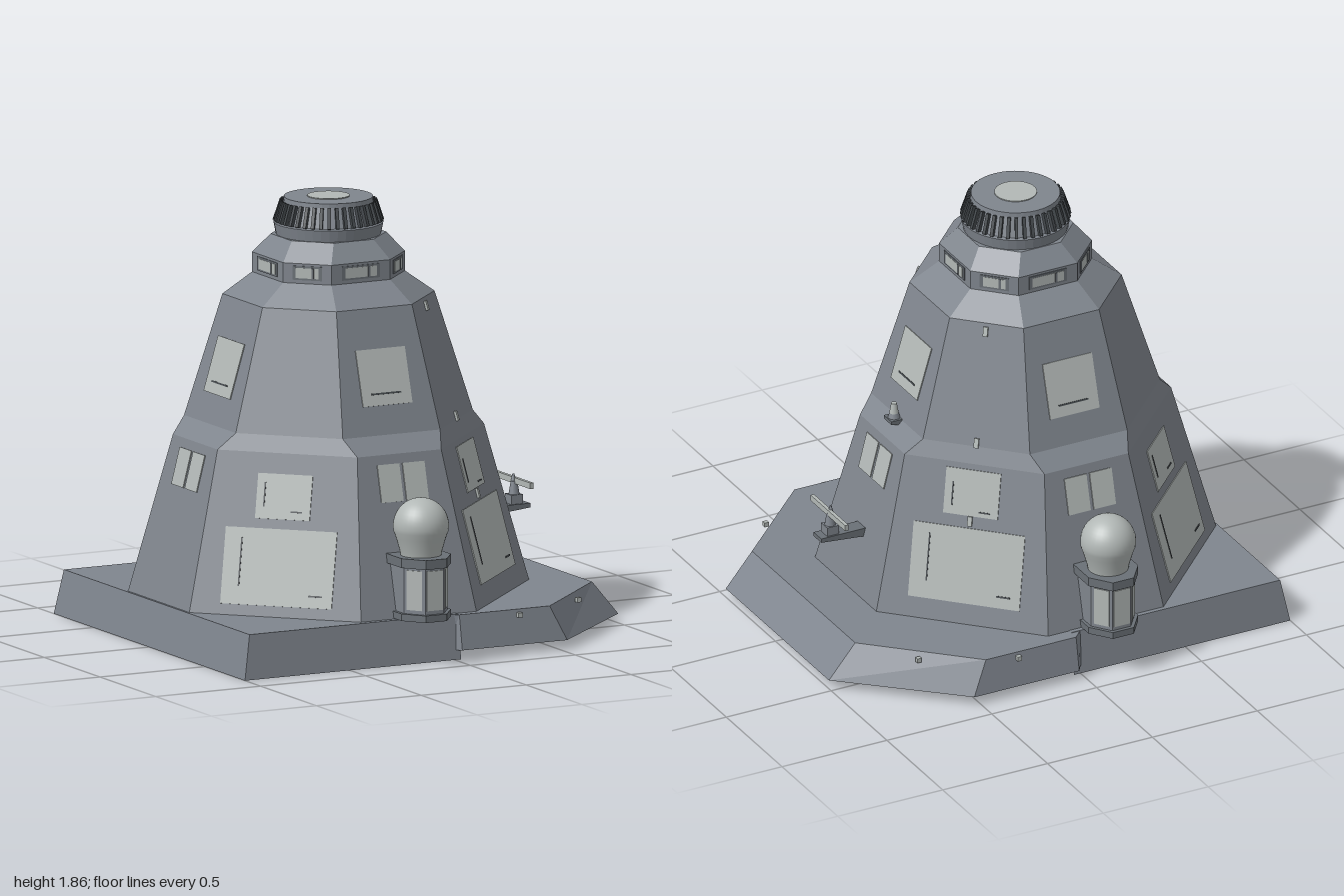
import * as THREE from 'three';

const AXIS = -0.145; // tower axis in x

const mat = (name, color, side = THREE.FrontSide) => {
  const m = new THREE.MeshStandardMaterial({ color, side });
  m.name = name;
  return m;
};

// Flat-faced skin over rings of [x, y, z]; rings run anticlockwise seen from above.
function loft(rings, { open = false, top = true } = {}) {
  const pos = [];
  const tri = (...pts) => pts.forEach((p) => pos.push(...p));
  const n = rings[0].length;
  for (let r = 0; r + 1 < rings.length; r++) {
    for (let i = 0; i < (open ? n - 1 : n); i++) {
      const j = (i + 1) % n, a = rings[r], b = rings[r + 1];
      tri(a[i], a[j], b[j], a[i], b[j], b[i]);
    }
  }
  if (top) {
    const last = rings[rings.length - 1];
    const c = [0, 1, 2].map((k) => last.reduce((s, p) => s + p[k], 0) / n);
    for (let i = 0; i < n; i++) tri(c, last[i], last[(i + 1) % n]);
  }
  const g = new THREE.BufferGeometry();
  g.setAttribute('position', new THREE.Float32BufferAttribute(pos, 3));
  g.computeVertexNormals();
  return g;
}

// Octagon with four straight sides at distance a, each of half width w.
const octagon = (y, a, w) => [
  [-w, y, a], [w, y, a], [a, y, w], [a, y, -w],
  [w, y, -a], [-w, y, -a], [-a, y, -w], [-a, y, w],
];

// Tower levels: height, side distance, half width of the straight sides
const LEVELS = [
  [0.19, 0.812, 0.276], [0.87, 0.635, 0.2], [0.94, 0.565, 0.232], [1.455, 0.41, 0.18],
  [1.545, 0.29, 0.14], [1.63, 0.29, 0.14], [1.71, 0.225, 0.095],
];

// Distance of a tower face from the axis at height y
function faceDistance(y, diagonal) {
  let i = 0;
  while (i < LEVELS.length - 2 && y > LEVELS[i + 1][0]) i++;
  const [p, q] = [LEVELS[i], LEVELS[i + 1]];
  const d = (l) => (diagonal ? (l[1] + l[2]) / Math.SQRT2 : l[1]);
  return THREE.MathUtils.mapLinear(y, p[0], q[0], d(p), d(q));
}

export function createModel() {
  const model = new THREE.Group();
  const hull = mat('hullGrey', 0x7f858d);
  const deckGrey = mat('deckGrey', 0x7f858e, THREE.DoubleSide);
  const light = mat('panelGrey', 0xb2b8b6);
  const trim = mat('trimGrey', 0x6a7076);
  const dark = mat('darkGrey', 0x44494d);

  const add = (parent, name, geo, material, x = 0, y = 0, z = 0) => {
    const m = new THREE.Mesh(geo, material);
    m.name = name;
    m.position.set(x, y, z);
    parent.add(m);
    return m;
  };
  const cyl = (rt, rb, h, n = 16) => new THREE.CylinderGeometry(rt, rb, h, n);

  // Hollow base decks, open underneath
  const deck = (name, bottom, topPts, y0, y1) => add(model, name,
    loft([bottom.map(([x, z]) => [x, y0, z]), topPts.map(([x, z]) => [x, y1, z])], { open: true }), deckGrey);
  deck('squareDeck',
    [[0.03, -0.855], [-1, -0.855], [-1, 0.86], [0.03, 0.86]],
    [[0.03, -0.83], [-0.965, -0.83], [-0.965, 0.835], [0.03, 0.835]], 0.01, 0.2);
  deck('angledDeck',
    [[-0.02, 0.83], [0.03, 0.872], [0.53, 0.872], [1, 0.445], [1, -0.48], [0.53, -0.9], [0.03, -0.9], [-0.02, -0.83]],
    [[-0.02, 0.82], [0.03, 0.845], [0.46, 0.845], [0.875, 0.445], [0.875, -0.48], [0.46, -0.872], [0.03, -0.872], [-0.02, -0.82]],
    0.05, 0.198);

  const tower = new THREE.Group();
  tower.name = 'tower';
  tower.position.x = AXIS;
  model.add(tower);
  add(tower, 'towerBody', loft(LEVELS.map((l) => octagon(...l))), hull);

  // Thin plate lying on tower face k (0 = front, odd = diagonal)
  const faces = Array.from({ length: 8 }, (_, k) => {
    const f = new THREE.Group();
    f.name = 'towerFace';
    f.rotation.y = (k * Math.PI) / 4;
    tower.add(f);
    return f;
  });
  const plate = (name, k, s, w, y0, y1, material = light, t = 0.009, lift = 0) => {
    const d0 = faceDistance(y0, k % 2), d1 = faceDistance(y1, k % 2);
    const m = add(faces[k], name, new THREE.BoxGeometry(w, Math.hypot(y1 - y0, d0 - d1), t),
      material, s, (y0 + y1) / 2, (d0 + d1) / 2 + lift);
    m.rotation.x = -Math.atan2(d0 - d1, y1 - y0);
  };

  for (let k = 0; k < 8; k++) {
    if (k % 2) {
      // Diagonal faces: large and small hatch with seams
      const up = k < 4 ? 0.04 : 0;
      plate('largeHatch', k, 0, 0.49, 0.245 + up, 0.56 + up);
      plate('hatchSeam', k, -0.17, 0.006, 0.32 + up, 0.52 + up, dark, 0.006, 0.004);
      plate('hatchHandle', k, 0.17, 0.06, 0.29 + up, 0.297 + up, dark, 0.006, 0.004);
      plate('smallHatch', k, 0, 0.24, 0.6 + up * 1.3, 0.785 + up * 1.5);
      plate('hatchSeam', k, -0.085, 0.006, 0.65 + up, 0.75 + up, dark, 0.006, 0.004);
      plate('hatchHandle', k, 0.06, 0.05, 0.63 + up, 0.636 + up, dark, 0.006, 0.004);
      if (k < 4) [0.63, 0.955, 1.42].forEach((y) => plate('mooringTab', k, 0, 0.02, y - 0.02, y + 0.02, light, 0.02));
    } else {
      // Straight faces: upper hatch and a pair of lower doors
      plate('upperHatch', k, 0, 0.235, 1.06, 1.29);
      plate('upperHatchSlot', k, 0, 0.14, 1.105, 1.112, dark, 0.006, 0.004);
      [-1, 1].forEach((s) => plate('lowerDoor', k, s * 0.06, 0.105, 0.675, 0.83));
    }
    // Collar windows
    const w = k % 2 ? 0.1 : 0.15;
    plate('windowFrame', k, 0, w + 0.03, 1.56, 1.62, trim, 0.006);
    plate('collarWindow', k, 0, w, 1.568, 1.612);
    plate('windowBar', k, w * 0.25, 0.01, 1.568, 1.612, trim, 0.006, 0.004);
  }

  // Ribbed round cap
  const profile = [[0.2, 1.69], [0.222, 1.71], [0.232, 1.76], [0.218, 1.765], [0.19, 1.85], [0.188, 1.868], [0, 1.868]];
  const capShape = new THREE.LatheGeometry(profile.map((p) => new THREE.Vector2(...p)), 40).toNonIndexed();
  capShape.computeVertexNormals();
  add(tower, 'cap', capShape, hull);
  add(tower, 'capDisc', cyl(0.09, 0.09, 0.008, 32), light, 0, 1.868, 0);
  for (let i = 0; i < 40; i++) {
    const holder = new THREE.Group();
    holder.name = 'capRib';
    holder.rotation.y = (i / 40) * Math.PI * 2;
    tower.add(holder);
    add(holder, 'rib', new THREE.BoxGeometry(0.014, 0.09, 0.024), dark, 0, 1.807, 0.209).rotation.x = -0.32;
  }

  // Domed posts at front and back
  const postBlock = (s, h) => {
    const pts = [[-0.118, -0.11], [0.118, -0.11], [0.118, 0.04], [0.05, 0.13], [-0.05, 0.13], [-0.118, 0.04]];
    const shape = new THREE.Shape(pts.map(([x, z]) => new THREE.Vector2(x * s, -z * s)));
    return new THREE.ExtrudeGeometry(shape, { depth: h, bevelEnabled: false }).rotateX(-Math.PI / 2);
  };
  const bulb = [[0.085, 0.46], [0.09, 0.49], [0.106, 0.545]];
  for (let i = 0; i <= 12; i++) {
    const a = -0.2 + (i / 12) * (Math.PI / 2 + 0.2);
    bulb.push([Math.max(0, 0.118 * Math.cos(a)), 0.595 + 0.118 * Math.sin(a)]);
  }
  for (const turn of [0, Math.PI]) {
    const side = new THREE.Group();
    side.name = turn ? 'backPost' : 'frontPost';
    side.rotation.y = turn;
    tower.add(side);
    add(side, 'postFoot', postBlock(1, 0.03), trim, 0, 0.203, 0.837);
    add(side, 'postColumn', postBlock(0.88, 0.2), hull, 0, 0.232, 0.837);
    add(side, 'postPanel', new THREE.BoxGeometry(0.076, 0.17, 0.008), light, 0, 0.335, 0.952);
    [-1, 1].forEach((s) => {
      add(side, 'postSidePanel', new THREE.BoxGeometry(0.07, 0.17, 0.008), light, s * 0.074, 0.335, 0.912)
        .rotation.y = s * Math.atan2(0.09, 0.068);
    });
    add(side, 'postCollar', postBlock(1, 0.04), trim, 0, 0.43, 0.837);
    add(side, 'dome', new THREE.LatheGeometry(bulb.map((p) => new THREE.Vector2(...p)), 32), light, 0, 0, 0.83);
  }

  // Bracket with a wedge underside, projecting towards +x
  const bracket = (x0, x1, yTop, h, width) => {
    const s = new THREE.Shape([[x0, yTop - h], [x1, yTop - h * 0.45], [x1, yTop], [x0, yTop]].map((p) => new THREE.Vector2(...p)));
    return new THREE.ExtrudeGeometry(s, { depth: width, bevelEnabled: false }).translate(0, 0, -width / 2 - 0.01);
  };
  // Lower shelf with its scanner bar
  const scanner = new THREE.Group();
  scanner.name = 'scanner';
  model.add(scanner);
  add(scanner, 'scannerShelf', bracket(0.58, 0.805, 0.47, 0.04, 0.07), trim);
  add(scanner, 'scannerFoot', new THREE.BoxGeometry(0.055, 0.04, 0.055), hull, 0.745, 0.49, -0.01);
  add(scanner, 'scannerNeck', cyl(0.014, 0.024, 0.06), hull, 0.745, 0.535, -0.01);
  add(scanner, 'scannerBar', new THREE.BoxGeometry(0.016, 0.026, 0.31), light, 0.75, 0.568, -0.015);
  add(scanner, 'scannerTip', cyl(0.004, 0.012, 0.03), hull, 0.742, 0.582, -0.01);
  // Upper shelf with a small beacon
  const beacon = new THREE.Group();
  beacon.name = 'beacon';
  model.add(beacon);
  add(beacon, 'beaconShelf', bracket(0.39, 0.47, 0.945, 0.035, 0.07), trim);
  add(beacon, 'beaconFoot', cyl(0.018, 0.027, 0.03), hull, 0.44, 0.957, -0.01);
  add(beacon, 'beaconHead', cyl(0.012, 0.02, 0.045), light, 0.44, 0.99, -0.01);

  // Small tabs on the deck edge
  [[0.31, 0.858], [0.69, 0.67], [0.69, -0.7], [0.31, -0.885]].forEach(([x, z]) =>
    add(model, 'deckTab', new THREE.BoxGeometry(0.02, 0.02, 0.02), light, x, 0.175, z));

  return model;
}
